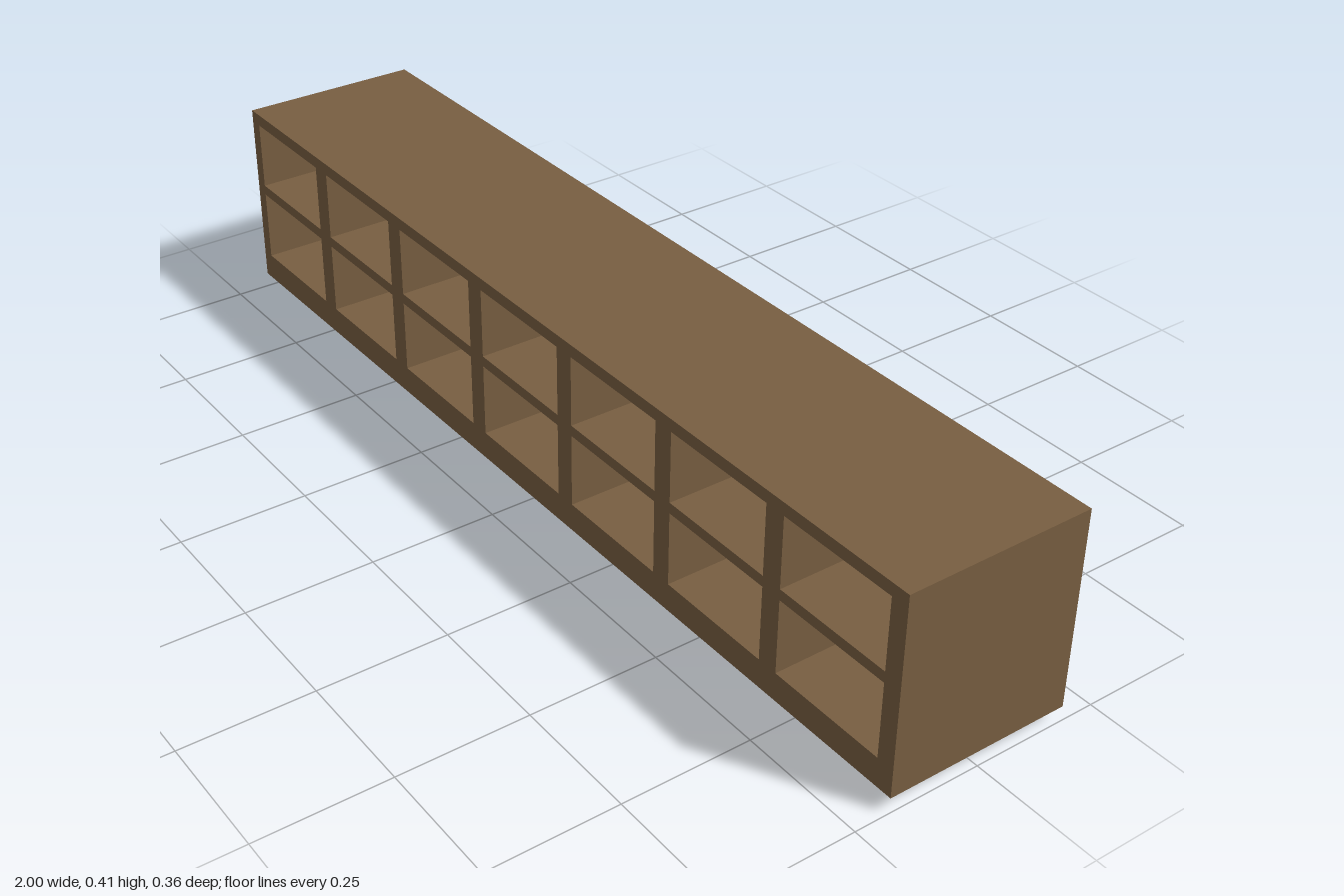
import * as THREE from 'three';

const wood = new THREE.MeshStandardMaterial({ color: 0x785e41 });
wood.name = 'brown wood';
const black = new THREE.MeshStandardMaterial({ color: 0x0a0a0a });
black.name = 'black backing';

const X = 1, Y0 = 0.03, Y1 = 0.413, Z = 0.182;   // cabinet body extents
const BACK = -0.155;                             // where the cubbies end

function rect(Type, x0, y0, x1, y1) {
  const p = new Type();
  p.moveTo(x0, y0);
  p.lineTo(x1, y0);
  p.lineTo(x1, y1);
  p.lineTo(x0, y1);
  p.closePath();
  return p;
}

// Full-size cabinet slab between two depths, pierced by rectangular holes
function slab(name, holes, z0, z1) {
  const shape = rect(THREE.Shape, -X, Y0, X, Y1);
  for (const h of holes) shape.holes.push(rect(THREE.Path, ...h));
  const geo = new THREE.ExtrudeGeometry(shape, { depth: z1 - z0, bevelEnabled: false });
  geo.translate(0, 0, z0);
  const mesh = new THREE.Mesh(geo, wood);
  mesh.name = name;
  return mesh;
}

function box(name, mat, w, h, d, x, y, z) {
  const mesh = new THREE.Mesh(new THREE.BoxGeometry(w, h, d), mat);
  mesh.position.set(x, y, z);
  mesh.name = name;
  return mesh;
}

export function createModel() {
  const group = new THREE.Group();
  group.name = 'cubbyShelf';

  // Two rows of seven cubbies
  const cells = [];
  for (const [y0, y1] of [[0.085, 0.23], [0.251, 0.389]]) {
    for (let i = 0; i < 7; i++) {
      const x = -0.973 + i * 0.2828;
      cells.push([x, y0, x + 0.241, y1]);
    }
  }
  group.add(slab('cubbyBody', cells, BACK, Z));

  // Rear rim around the recessed back
  const o = [-0.973, 0.056, 0.973, 0.388];
  group.add(slab('rearRim', [o], -Z, BACK));

  // Wooden back of the cubbies with a thin black sheet behind it
  const w = o[2] - o[0], h = o[3] - o[1], cy = (o[1] + o[3]) / 2;
  group.add(box('backboard', wood, w, h, 0.006, 0, cy, BACK - 0.003));
  group.add(box('backSheet', black, w, h, 0.006, 0, cy, BACK - 0.009));

  // Recessed plinth
  group.add(box('plinth', wood, 1.914, Y0, 0.28, 0, Y0 / 2, 0));
  return group;
}
